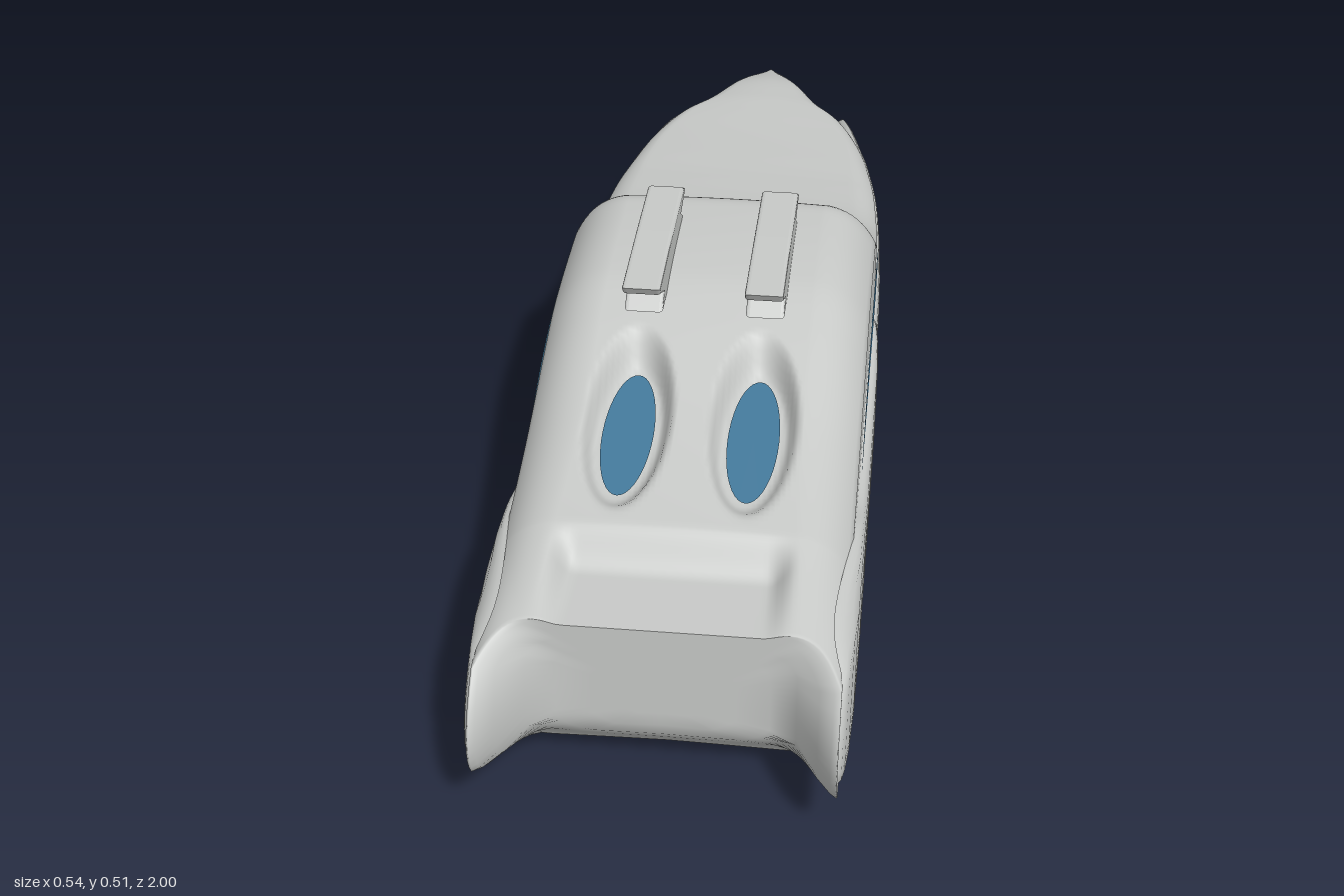
import * as THREE from 'three';

const { smoothstep, clamp, lerp } = THREE.MathUtils;

// Hull stations: z, half width, top, flat top half width, shoulder y, chine y, bottom half width, bottom
const STATIONS = [
  [1, .255, .308, .19, .27, .10, .17, .045],
  [.7, .255, .346, .18, .29, .10, .16, .03],
  [.5, .255, .385, .17, .32, .10, .16, .025],
  [.3, .255, .44, .17, .37, .10, .16, .02],
  [.2, .255, .46, .17, .39, .10, .16, .018],
  [0, .255, .462, .17, .39, .10, .16, .015],
  [-.05, .255, .45, .175, .38, .10, .16, .014],
  [-.09, .255, .402, .2, .35, .10, .16, .013],
  [-.16, .255, .345, .215, .315, .10, .16, .012],
  [-.25, .252, .312, .21, .285, .10, .16, .01],
  [-.4, .24, .293, .2, .27, .10, .155, .005],
  [-.5, .225, .286, .19, .26, .11, .14, .015],
  [-.6, .205, .28, .17, .25, .13, .12, .04],
  [-.7, .17, .276, .13, .24, .15, .09, .065],
  [-.77, .125, .272, .08, .235, .165, .06, .09],
  [-.87, .077, .257, .045, .222, .172, .035, .128],
  [-1, .012, .21, .005, .205, .2, .005, .195],
];

// Smooth interpolation of the stations along z
function station(z) {
  z = clamp(z, -1, 1);
  const S = STATIONS;
  let i = 0;
  while (i < S.length - 2 && z < S[i + 1][0]) i++;
  const a = S[i], b = S[i + 1], p = S[Math.max(i - 1, 0)], n = S[Math.min(i + 2, S.length - 1)];
  const h = b[0] - a[0], t = (z - a[0]) / h;
  return a.map((v, k) => {
    const m0 = (b[k] - p[k]) / (b[0] - p[0]) * h, m1 = (n[k] - v) / (n[0] - a[0]) * h;
    return v * (1 + 2 * t) * (1 - t) ** 2 + m0 * t * (1 - t) ** 2
      + b[k] * t * t * (3 - 2 * t) + m1 * t * t * (t - 1);
  });
}

// Half cross-section from top centre to bottom centre
function halfSection(z) {
  const [, hw, top, tw, sh, ch, bw, bot] = station(z), pts = [];
  for (let i = 0; i < 24; i++) pts.push([tw * i / 24, top + .004 * (1 - (i / 24) ** 2)]);
  const cx = lerp(tw, hw, .65), cy = lerp(top, sh, .15);
  for (let i = 0; i < 10; i++) {
    const t = i / 10, u = 1 - t;
    pts.push([u * u * tw + 2 * u * t * cx + t * t * hw, u * u * top + 2 * u * t * cy + t * t * sh]);
  }
  for (let i = 0; i < 10; i++) pts.push([hw, lerp(sh, ch, i / 10)]);
  for (let i = 0; i < 8; i++) {
    const t = i / 8;
    pts.push([lerp(hw, bw, t) + .012 * Math.sin(Math.PI * t) * hw / .255, lerp(ch, bot, t)]);
  }
  for (let i = 0; i <= 6; i++) pts.push([bw * (1 - i / 6), bot + .008 * (i / 6) * bw / .16]);
  return pts;
}

// Hull side x at a height, and deck height at an x
function sideX(z, y) {
  const p = halfSection(z);
  for (let i = 24; i < 52; i++) {
    if (y <= p[i][1] && y >= p[i + 1][1]) {
      return lerp(p[i][0], p[i + 1][0], (p[i][1] - y) / (p[i][1] - p[i + 1][1] || 1));
    }
  }
  return y > p[24][1] ? p[24][0] : p[52][0];
}
function deckY(z, x) {
  const p = halfSection(z);
  let i = 0;
  while (i < 33 && p[i + 1][0] < x) i++;
  return lerp(p[i][1], p[i + 1][1], (x - p[i][0]) / (p[i + 1][0] - p[i][0]));
}

// Geometry from a grid of rows; flip reverses the facing
function grid(rows, flip = false, closed = true) {
  const n = rows[0].length, idx = [];
  for (let i = 0; i < rows.length - 1; i++) {
    for (let j = 0; j < (closed ? n : n - 1); j++) {
      const k = (j + 1) % n, a = i * n + j, b = i * n + k, c = a + n, d = b + n;
      if (flip) idx.push(a, c, b, b, c, d);
      else idx.push(a, b, c, b, d, c);
    }
  }
  const g = new THREE.BufferGeometry();
  g.setAttribute('position', new THREE.Float32BufferAttribute(rows.flat(2), 3));
  g.setIndex(idx);
  g.computeVertexNormals();
  return g;
}

const SKYLIGHT_X = .095;
const wellFloor = z => .355 - .15 * (z - .5);

// Swept-back stern corners, stern deck recess and skylight wells
function shape(x, y, z) {
  const ax = Math.abs(x);
  if (z > .7) {
    const u = (z - .7) / .3;
    const horn = smoothstep(ax, .17, .26) * Math.max(0, 1 - ((y - .17) / .14) ** 2);
    z = .7 + u * (.17 + .13 * horn - .05 * (1 - smoothstep(y, .03, .12)));
  }
  if (y > .3) y -= (y - .3) * smoothstep(z, .7, .76) * (1 - smoothstep(ax, .14, .18));
  const e = Math.hypot((ax - SKYLIGHT_X) / .068, (z - .5) / .18);
  if (e < 1 && y > .3) y = lerp(wellFloor(z), y, smoothstep(e, .72, 1));
  return [x, y, z];
}

function hullGeometry() {
  const ring = z => {
    const h = halfSection(z);
    return [...h, ...h.slice(1, -1).reverse().map(([x, y]) => [-x, y])];
  };
  const rows = [0, .2, .4, .6, .75, .88, .96, .99].map(s =>
    ring(1).map(([x, y]) => shape(x * s, .17 + (y - .17) * s, 1)));
  for (let i = 0; i <= 200; i++) {
    const z = 1 - i / 100;
    rows.push(ring(z).map(([x, y]) => shape(x, y, z)));
  }
  rows.push(ring(-1).map(() => [0, .203, -1]));
  return grid(rows);
}

// Panel following the hull side, domed by bulge or lying flat at a small offset
function panel(outline, side, bulge, flat = false) {
  const curve = new THREE.CatmullRomCurve3(outline.map(([z, y]) => new THREE.Vector3(0, y, z)), true);
  const pts = curve.getSpacedPoints(96).slice(0, -1);
  const c = pts.reduce((s, p) => s.add(p), new THREE.Vector3()).divideScalar(pts.length);
  const rows = [1, .985, .95, .88, .75, .5, .25, 0].map(s => pts.map(p => {
    const z = lerp(c.z, p.z, s), y = lerp(c.y, p.y, s);
    // Towards the bow the fins stand clear of the narrowing hull
    const spread = z < -.6 ? Math.max(1, (.205 + .2 * (z + .6)) / station(z)[1]) : 1;
    const off = flat ? bulge : bulge * Math.sqrt(1 - s ** 6);
    return [side * (sideX(z, y) * spread + off), y, z];
  }));
  return grid(rows, side * bulge < 0);
}

// Side outlines as z, y
const SIDE_WINDOW = [[.47, .285], [.4, .277], [.1, .277], [-.05, .285], [-.085, .315], [-.07, .352],
  [0, .375], [.1, .38], [.25, .37], [.38, .335]];
const SIDE_POD = [[.985, .15], [.9, .135], [.6, .135], [0, .138], [-.04, .16], [-.055, .195], [-.04, .235],
  [0, .252], [.4, .257], [.52, .268], [.62, .295], [.85, .3], [.93, .265], [.985, .2]];
const LOWER_STRAKE = [[.78, .065], [.6, .045], [.2, .04], [-.1, .045], [-.15, .09], [-.05, .115],
  [.2, .1], [.6, .095], [.74, .09]];
const BOW_FIN = [[-.05, .155], [-.15, .08], [-.3, .03], [-.42, .02], [-.55, .04], [-.7, .09], [-.8, .155],
  [-.83, .19], [-.75, .225], [-.6, .25], [-.4, .258], [-.25, .235], [-.15, .195]];
const ROOF_RAIL = [[.3, .455], [.02, .455], [.06, .485], [0, .497], [.015, .504], [.16, .507], [.325, .507],
  [.32, .5], [.275, .475]];

export function createModel() {
  const model = new THREE.Group();
  const paint = new THREE.MeshStandardMaterial({ color: 0xc8cac8, side: THREE.DoubleSide });
  paint.name = 'hullGrey';
  const glass = new THREE.MeshStandardMaterial({ color: 0x44799b, side: THREE.DoubleSide });
  glass.name = 'windowBlue';
  const add = (name, geometry, material) => {
    const mesh = new THREE.Mesh(geometry, material);
    mesh.name = name;
    model.add(mesh);
  };

  add('hull', hullGeometry(), paint);

  // Windscreen band across the cabin slope
  const band = [];
  for (let i = 0; i <= 6; i++) {
    const z = -.098 - .052 * i / 6, row = [];
    for (let j = 0; j <= 40; j++) {
      const x = -.208 + .416 * j / 40;
      row.push([x, deckY(z, Math.abs(x)) + .004, z - .003]);
    }
    band.push(row);
  }
  add('windscreen', grid(band, false, false), glass);

  for (const side of [1, -1]) {
    const n = side > 0 ? 'left' : 'right';
    add(n + 'SideWindow', panel(SIDE_WINDOW, side, .004, true), glass);
    add(n + 'SidePod', panel(SIDE_POD, side, .017), paint);
    add(n + 'LowerStrake', panel(LOWER_STRAKE, side, .01), paint);
    add(n + 'BowFin', panel(BOW_FIN, side, .01), paint);
    add(n + 'BowFinInside', panel(BOW_FIN, side, -.025), paint);

    // Oval skylight at the bottom of its well
    const oval = new THREE.CircleGeometry(1, 40).rotateX(-Math.PI / 2).scale(.039, 1, .128);
    oval.rotateX(Math.atan(.15)).translate(side * SKYLIGHT_X, wellFloor(.5) + .004, .5);
    add(n + 'Skylight', oval, glass);

    // Roof rail with overhanging ends
    const rail = new THREE.ExtrudeGeometry(new THREE.Shape(ROOF_RAIL.map(p => new THREE.Vector2(...p))),
      { depth: .048, bevelEnabled: true, bevelSize: .005, bevelThickness: .006, bevelSegments: 3 });
    rail.translate(0, 0, -.024).rotateY(-Math.PI / 2).translate(side * SKYLIGHT_X, 0, 0);
    add(n + 'RoofRail', rail, paint);
  }
  return model;
}
